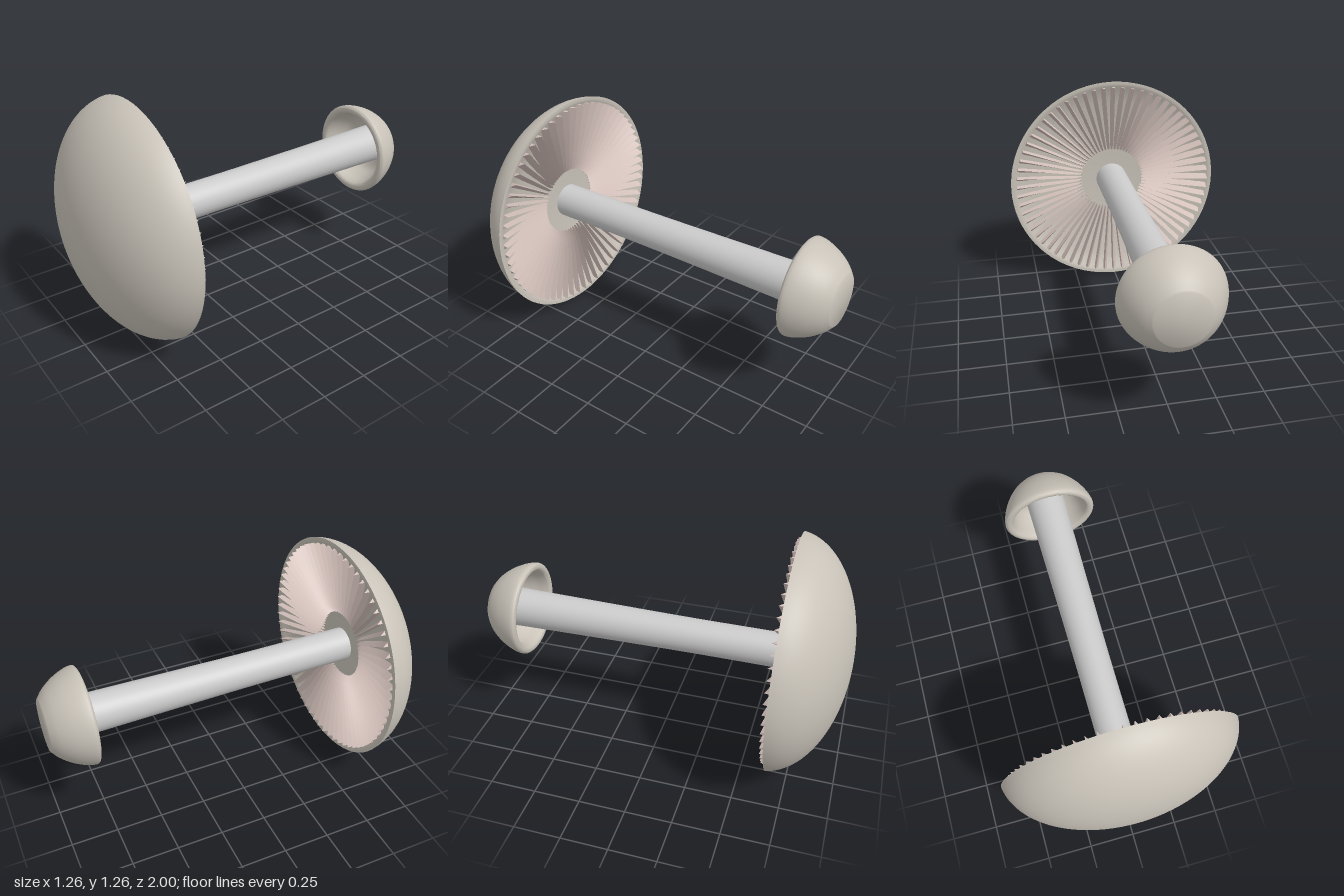
import * as THREE from 'three';
import { toCreasedNormals, mergeGeometries } from 'three/addons/utils/BufferGeometryUtils.js';

const CENTRE_Y = 0.628;
const GILLS = 64;

const v2 = (pairs) => pairs.map(([r, z]) => new THREE.Vector2(r, z));
const smooth = (pairs, n) => new THREE.SplineCurve(v2(pairs)).getPoints(n);

// Revolve a (radius, z) profile around the z axis
function revolve(points, segments = 64) {
  const geo = new THREE.LatheGeometry(points, segments);
  geo.rotateX(Math.PI / 2);
  return toCreasedNormals(geo, 0.7);
}

// One blade along +x: triangular sections, wide at the floor, leaning at the edge
function gillGeometry() {
  // radius, floor z, edge z, half width
  const stations = [
    [0.19, 0.75, 0.722, 0.007],
    [0.23, 0.74, 0.695, 0.008],
    [0.30, 0.735, 0.678, 0.010],
    [0.40, 0.72, 0.661, 0.012],
    [0.50, 0.70, 0.646, 0.014],
    [0.595, 0.675, 0.63, 0.016],
  ];
  const pos = [];
  const index = [];
  stations.forEach(([r, floor, edge, w], i) => {
    pos.push(r, -w, floor, r, w, floor, r, w * 0.8, edge);
    if (i === 0) return;
    const a = (i - 1) * 3;
    for (let k = 0; k < 3; k++) {
      const p = a + k, q = a + ((k + 1) % 3);
      index.push(p, q, p + 3, q, q + 3, p + 3);
    }
  });
  const e = pos.length / 3 - 3;
  index.push(0, 2, 1, e, e + 1, e + 2);
  // Sections run the other way round the blade, so flip every face outward
  for (let i = 0; i < index.length; i += 3) {
    [index[i + 1], index[i + 2]] = [index[i + 2], index[i + 1]];
  }
  const geo = new THREE.BufferGeometry();
  geo.setAttribute('position', new THREE.Float32BufferAttribute(pos, 3));
  geo.setIndex(index);
  return toCreasedNormals(geo, 0.6);
}

export function createModel() {
  const model = new THREE.Group();
  const body = new THREE.Group();
  body.name = 'mushroom';
  body.position.y = CENTRE_Y;
  model.add(body);

  const add = (name, geometry, color) => {
    const material = new THREE.MeshStandardMaterial({ color, side: THREE.DoubleSide });
    const mesh = new THREE.Mesh(geometry, material);
    mesh.name = name;
    body.add(mesh);
  };

  // Cap: hollow underside, narrow lip, then the elliptical dome
  const dome = [];
  for (let i = 0; i <= 28; i++) {
    const a = THREE.MathUtils.lerp(Math.asin(0.035 / 0.38), Math.PI / 2, i / 28);
    dome.push(new THREE.Vector2(Math.max(0, 0.631 * Math.cos(a)), 0.62 + 0.38 * Math.sin(a)));
  }
  const underside = v2([[0, 0.735], [0.2, 0.735], [0.3, 0.725], [0.4, 0.71],
    [0.5, 0.69], [0.585, 0.668], [0.6, 0.658], [0.615, 0.655]]);
  add('cap', revolve([...underside, ...dome], 80), 0xc8c2b8);

  // Gills: blades repeated around the underside
  const blade = gillGeometry();
  const blades = [];
  for (let i = 0; i < GILLS; i++) {
    blades.push(blade.clone().rotateZ((i / GILLS) * Math.PI * 2));
  }
  add('gills', mergeGeometries(blades), 0xd2bfb9);

  // Stem: slightly thicker toward the base
  add('stem', revolve(smooth([[0.11, -0.96], [0.106, -0.75], [0.098, -0.2],
    [0.094, 0.2], [0.094, 0.745]], 24), 48), 0xcccccc);

  // Base cup: flat end, rounded wall, rolled rim and hollow inside
  const wall = smooth([[0.135, -1], [0.18, -0.962], [0.222, -0.905], [0.25, -0.845],
    [0.261, -0.8], [0.255, -0.783], [0.238, -0.777], [0.22, -0.785],
    [0.21, -0.81], [0.195, -0.86], [0.16, -0.92], [0.1, -0.95]], 48);
  add('baseCup', revolve([new THREE.Vector2(0, -0.998), ...wall]), 0xc8c2b8);

  return model;
}
